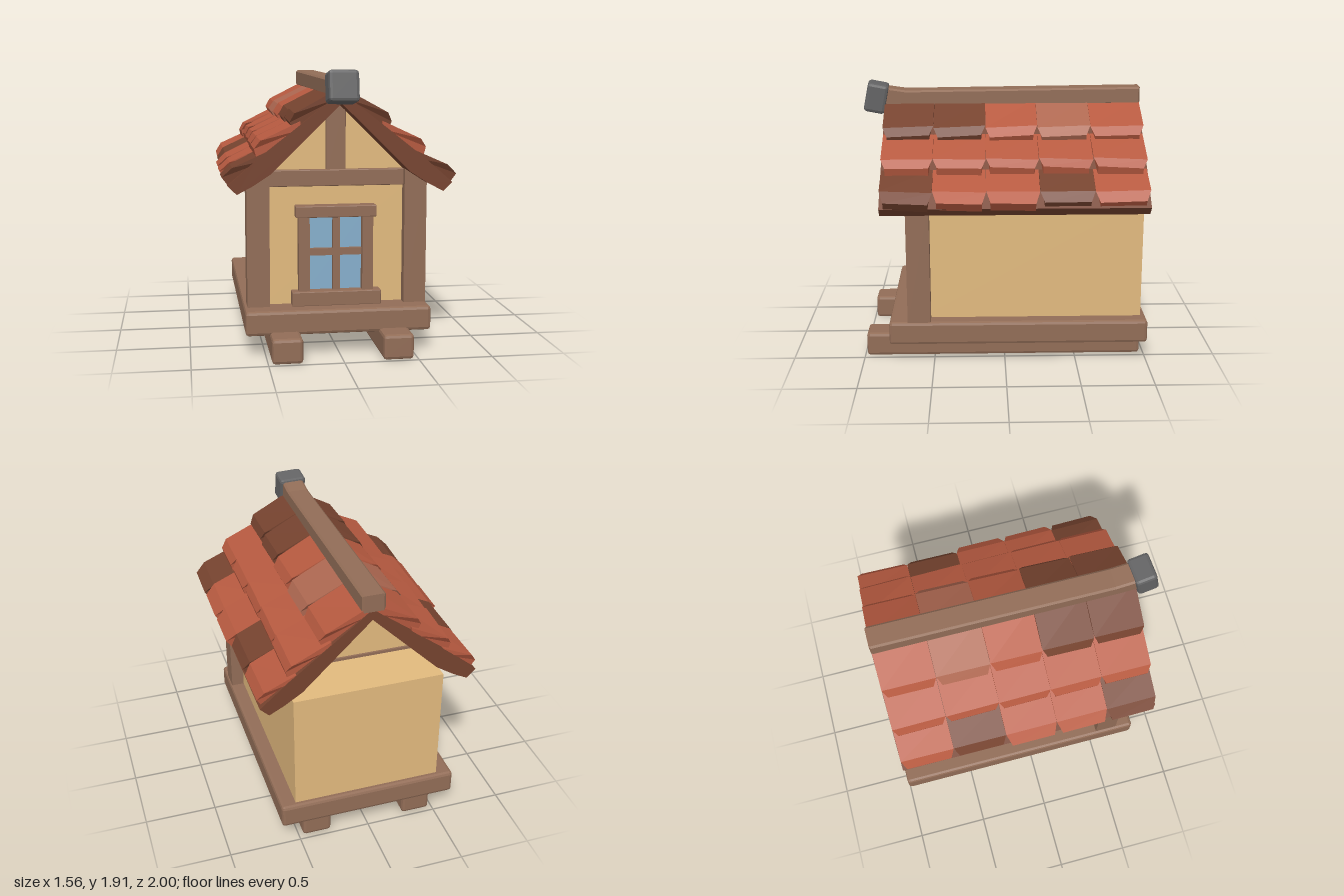
import * as THREE from 'three';
import { RoundedBoxGeometry } from 'three/addons/geometries/RoundedBoxGeometry.js';

export function createModel() {
  const model = new THREE.Group();
  model.name = 'cottage';

  const colour = (name, hex) => {
    const m = new THREE.MeshStandardMaterial({ color: hex, flatShading: true });
    m.name = name;
    return m;
  };
  const wood = colour('wood', 0x926d57);
  const darkTile = colour('darkTile', 0x76432f);
  const redTile = colour('redTile', 0xb75a40);
  const paleTile = colour('paleTile', 0xae6851);
  const plaster = colour('plaster', 0xe2ba7e);
  const glass = colour('glass', 0x86afcc);
  const iron = colour('iron', 0x636364);

  const add = (name, geometry, material, parent = model) => {
    const mesh = new THREE.Mesh(geometry, material);
    mesh.name = name;
    parent.add(mesh);
    return mesh;
  };
  // Box given by its limits, with an optional chamfer
  const block = (name, material, [x0, x1], [y0, y1], [z0, z1], chamfer = 0) => {
    const size = [x1 - x0, y1 - y0, z1 - z0];
    const geometry = chamfer
      ? new RoundedBoxGeometry(...size, 1, chamfer)
      : new THREE.BoxGeometry(...size);
    const mesh = add(name, geometry, material);
    mesh.position.set((x0 + x1) / 2, (y0 + y1) / 2, (z0 + z1) / 2);
    return mesh;
  };
  const outline = (points) => new THREE.Shape(points.map(([x, y]) => new THREE.Vector2(x, y)));
  const extrude = (points, depth) =>
    new THREE.ExtrudeGeometry(outline(points), { depth, bevelEnabled: false });

  // Runners and floor slab
  block('leftRunner', wood, [0.265, 0.47], [0, 0.17], [-0.97, 0.985], 0.022);
  block('rightRunner', wood, [-0.475, -0.27], [0, 0.17], [-0.97, 0.985], 0.022);
  block('floorSlab', wood, [-0.635, 0.625], [0.145, 0.312], [-1, 0.81], 0.022);

  // Plaster walls and the set-back gable
  block('walls', plaster, [-0.52, 0.52], [0.3, 1.16], [-0.96, 0.605]);
  const gable = add('gable', extrude([[-0.52, 1.155], [0.52, 1.155], [0.46, 1.25], [0, 1.7], [-0.46, 1.25]], 1.185), plaster);
  gable.position.z = -0.585;

  // Timber frame; the post tops follow the roof slope
  for (const s of [-1, 1]) {
    const span = (a, b) => (s > 0 ? [a, b] : [-b, -a]);
    const post = [[0.46, 0.305], [0.613, 0.305], [0.613, 1.17], [0.46, 1.26]];
    add('cornerPost', extrude(post.map(([x, y]) => [s * x, y]), 0.16), wood).position.z = 0.52;
    block('eaveBeam', wood, span(0.5, 0.595), [1.105, 1.175], [-0.72, 0.53], 0.01);
  }
  block('tieBeam', wood, [-0.465, 0.462], [1.125, 1.237], [0.55, 0.645], 0.006);
  block('kingPost', wood, [-0.07, 0.063], [1.23, 1.69], [0.55, 0.63], 0.006);
  block('backTieBeam', wood, [-0.5, 0.5], [1.15, 1.18], [-0.6, -0.55]);

  // Window
  block('windowPane', glass, [-0.2, 0.19], [0.4, 0.93], [0.604, 0.612]);
  block('windowJamb', wood, [-0.263, -0.188], [0.4, 0.93], [0.6, 0.67]);
  block('windowJamb', wood, [0.173, 0.247], [0.4, 0.93], [0.6, 0.67]);
  block('windowMullion', wood, [-0.026, 0.022], [0.4, 0.93], [0.6, 0.65]);
  block('windowCrossbar', wood, [-0.2, 0.19], [0.65, 0.698], [0.6, 0.643]);
  block('windowLintel', wood, [-0.285, 0.265], [0.918, 0.997], [0.6, 0.695], 0.006);
  block('windowSill', wood, [-0.31, 0.3], [0.31, 0.41], [0.6, 0.695], 0.006);

  // Roof deck, flaring slightly at the eaves
  const slope = [[0.3, 1.53], [0.56, 1.325], [0.745, 1.165], [0.685, 1.105], [0.58, 1.16], [0.46, 1.238]];
  const mirrored = slope.map(([x, y]) => [-x, y]).reverse();
  const deck = add('roofDeck',
    extrude([[0, 1.765], ...slope, [0, 1.69], ...mirrored], 1.817), darkTile);
  deck.position.z = -0.973;

  // Tile rows: top start, crest, lip, lower corner, lower start
  const rows = [
    [[0.03, 1.78], [0.308, 1.635], [0.345, 1.575], [0.318, 1.52], [0.03, 1.72]],
    [[0.27, 1.575], [0.53, 1.455], [0.562, 1.4], [0.545, 1.335], [0.27, 1.52]],
    [[0.5, 1.375], [0.712, 1.275], [0.78, 1.21], [0.735, 1.15], [0.48, 1.33]],
  ];
  const joints = [0.842, 0.49, 0.13, -0.23, -0.6, -0.97];
  const colours = [
    [darkTile, darkTile, redTile, paleTile, redTile],
    [redTile, redTile, redTile, redTile, redTile],
    [darkTile, redTile, redTile, darkTile, redTile],
  ];
  const wobble = (n) => Math.sin(n * 12.9898 + 4.1);

  for (const s of [1, -1]) {
    const side = new THREE.Group();
    side.name = s > 0 ? 'leftTiles' : 'rightTiles';
    side.rotation.y = s > 0 ? 0 : Math.PI;
    model.add(side);
    rows.forEach((profile, r) => {
      for (let c = 0; c < 5; c++) {
        const width = joints[c] - joints[c + 1] - 0.002;
        const geometry = extrude(profile, width);
        geometry.translate(0, 0, -width / 2);
        const p = geometry.attributes.position;
        const tilt = 0.045 * wobble(r * 5 + c);
        const shift = r === 2 ? (c > 2 ? -0.025 : 0) : 0.008 * wobble(r * 7 + c * 3 + 1);
        // Taper the lip and tilt each tile a little
        for (let i = 0; i < p.count; i++) {
          const x = p.getX(i), z = p.getZ(i);
          if (x < profile[1][0] - 0.001) continue;
          p.setY(i, p.getY(i) + tilt * z * s);
          if (x > profile[1][0] + 0.001) {
            p.setX(i, x + shift);
            p.setZ(i, z * 0.84);
          }
        }
        geometry.computeVertexNormals();
        const tile = add('roofTile', geometry, colours[r][c], side);
        tile.position.z = s * (joints[c] + joints[c + 1]) / 2;
      }
    });
  }

  // Ridge beam with a raised front end
  const ridgeOutline = [[-0.962, 1.76], [0.69, 1.75], [0.86, 1.76], [0.86, 1.863],
    [0.69, 1.838], [-0.962, 1.857]];
  const ridge = new THREE.ExtrudeGeometry(outline(ridgeOutline), {
    depth: 0.13, bevelEnabled: true, bevelSegments: 1, bevelSize: 0.012, bevelThickness: 0.014,
  });
  ridge.translate(0, 0, -0.065);
  ridge.rotateY(-Math.PI / 2);
  add('ridgeBeam', ridge, wood).position.x = -0.008;

  // Iron cap on the ridge end
  const cap = add('ridgeCap', new RoundedBoxGeometry(0.2, 0.205, 0.15, 1, 0.022), iron);
  cap.position.set(-0.007, 1.797, 0.905);
  cap.rotation.set(-0.2, 0.06, 0);

  return model;
}
